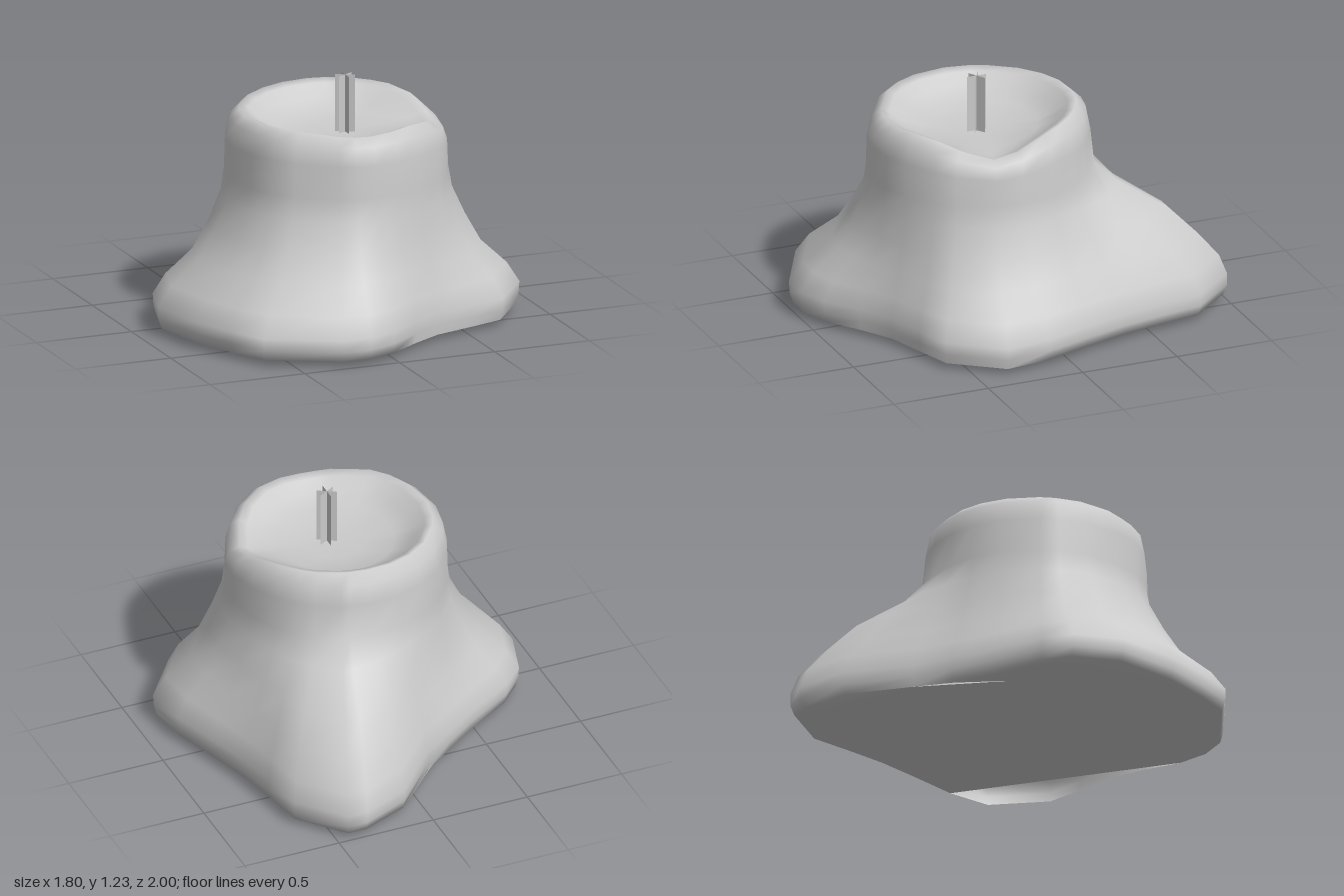
import * as THREE from 'three';
import { mergeGeometries, mergeVertices } from 'three/addons/utils/BufferGeometryUtils.js';

const grey = () => new THREE.MeshStandardMaterial({ color: 0xcccccc, side: THREE.DoubleSide });
const CX = 0.025, CZ = 0.135; // axis of the upper cylinder

// Widest outline of the melted foot, as x, z pairs
const outline = [
  [0.9, 0.35], [0.71, 0.6], [0.52, 0.66], [0.32, 0.72], [0.16, 0.82], [0, 0.94], [-0.15, 1],
  [-0.3, 1], [-0.64, 0.82], [-0.74, 0.63], [-0.83, 0.42], [-0.9, 0.1], [-0.83, -0.14],
  [-0.72, -0.25], [-0.47, -0.4], [-0.3, -0.52], [-0.13, -0.64], [0.11, -0.9], [0.35, -1],
  [0.45, -1], [0.64, -0.78], [0.68, -0.55], [0.72, -0.35], [0.79, -0.12], [0.87, 0.12],
];

// Bell-shaped weight around an angle in degrees
function bell(angle, centre, width) {
  let d = angle - THREE.MathUtils.degToRad(centre);
  d = Math.atan2(Math.sin(d), Math.cos(d)) / THREE.MathUtils.degToRad(width);
  return Math.exp(-d * d);
}

// Rings from foot to bowl: height, spread, spread on the back lobe, neck radius, share of rim dip
const rings = [
  [0.03, 0.95, 0.97, 0.55, 0],
  [0.08, 0.99, 1, 0.55, 0],
  [0.14, 1, 1, 0.55, 0],
  [0.24, 0.82, 0.94, 0.55, 0],
  [0.36, 0.45, 0.78, 0.55, 0],
  [0.5, 0.23, 0.56, 0.55, 0],
  [0.64, 0.05, 0.2, 0.55, 0],
  [0.75, 0, 0.02, 0.55, 0],
  [0.92, 0, 0, 0.545, 0.4],
  [1.02, 0, 0, 0.525, 0.8],
  [1.065, 0, 0, 0.475, 1],
  [1.05, 0, 0, 0.435, 1],
  [1.0, 0, 0, 0.38, 0.5],
  [0.96, 0, 0, 0.29, 0.1],
  [0.945, 0, 0, 0.15, 0],
];

function ringPoints([y, spread, lobeSpread, radius, dip]) {
  return outline.map(([x, z]) => {
    const dx = x - CX, dz = z - CZ;
    const a = Math.atan2(dz, dx), far = Math.hypot(dx, dz);
    const t = THREE.MathUtils.lerp(spread, lobeSpread, bell(a, 292, 38));
    const r = THREE.MathUtils.lerp(radius, far, t);
    const sag = 0.1 * bell(a, 14, 26) + 0.025 * bell(a, 97, 25) - 0.012 * bell(a, 280, 40);
    return [CX + r * Math.cos(a), y - dip * sag, CZ + r * Math.sin(a)];
  });
}

// Joins rings of equal count and closes the last one to a point
function loft(loops, tip) {
  const n = loops[0].length, index = [];
  const points = loops.flat();
  for (let i = 0; i < loops.length - 1; i++) {
    for (let j = 0; j < n; j++) {
      const k = (j + 1) % n;
      const a = i * n + j, b = i * n + k, c = a + n, d = b + n;
      index.push(a, c, b, b, c, d);
    }
  }
  const last = (loops.length - 1) * n, end = points.length;
  for (let j = 0; j < n; j++) index.push(last + j, end, last + (j + 1) % n);
  points.push(tip);
  const geo = new THREE.BufferGeometry();
  geo.setAttribute('position', new THREE.Float32BufferAttribute(points.flat(), 3));
  geo.setIndex(index);
  return geo;
}

export function createModel() {
  const model = new THREE.Group();
  model.name = 'meltedCandle';

  // Spread foot, neck, sagging rim and shallow bowl
  const body = loft(rings.map(ringPoints), [0.06, 0.94, 0.16]);

  // Underside with a small bulge, left open along the front left edge
  const tip = [-0.48, 0, -0.28];
  const edge = ringPoints(rings[0]).slice(5).reverse();
  const inner = edge.map(([x, , z]) => [
    THREE.MathUtils.lerp(x, tip[0], 0.4), 0.028, THREE.MathUtils.lerp(z, tip[2], 0.4),
  ]);
  const underside = loft([edge, inner], tip);

  // Weld both so the lower edge shades softly
  const waxGeometry = mergeVertices(mergeGeometries([body, underside]), 1e-4);
  waxGeometry.computeVertexNormals();
  const wax = new THREE.Mesh(waxGeometry, grey());
  wax.name = 'waxBody';
  model.add(wax);

  // Wick of three crossed strips
  const wick = new THREE.Group();
  wick.name = 'wick';
  for (let i = 0; i < 3; i++) {
    const strip = new THREE.Mesh(new THREE.PlaneGeometry(0.1, 0.31), grey());
    strip.name = 'wickStrip';
    strip.rotation.y = Math.PI / 2 + (i * Math.PI) / 3;
    wick.add(strip);
  }
  wick.position.set(0.06, 1.075, 0.16);
  model.add(wick);

  return model;
}
